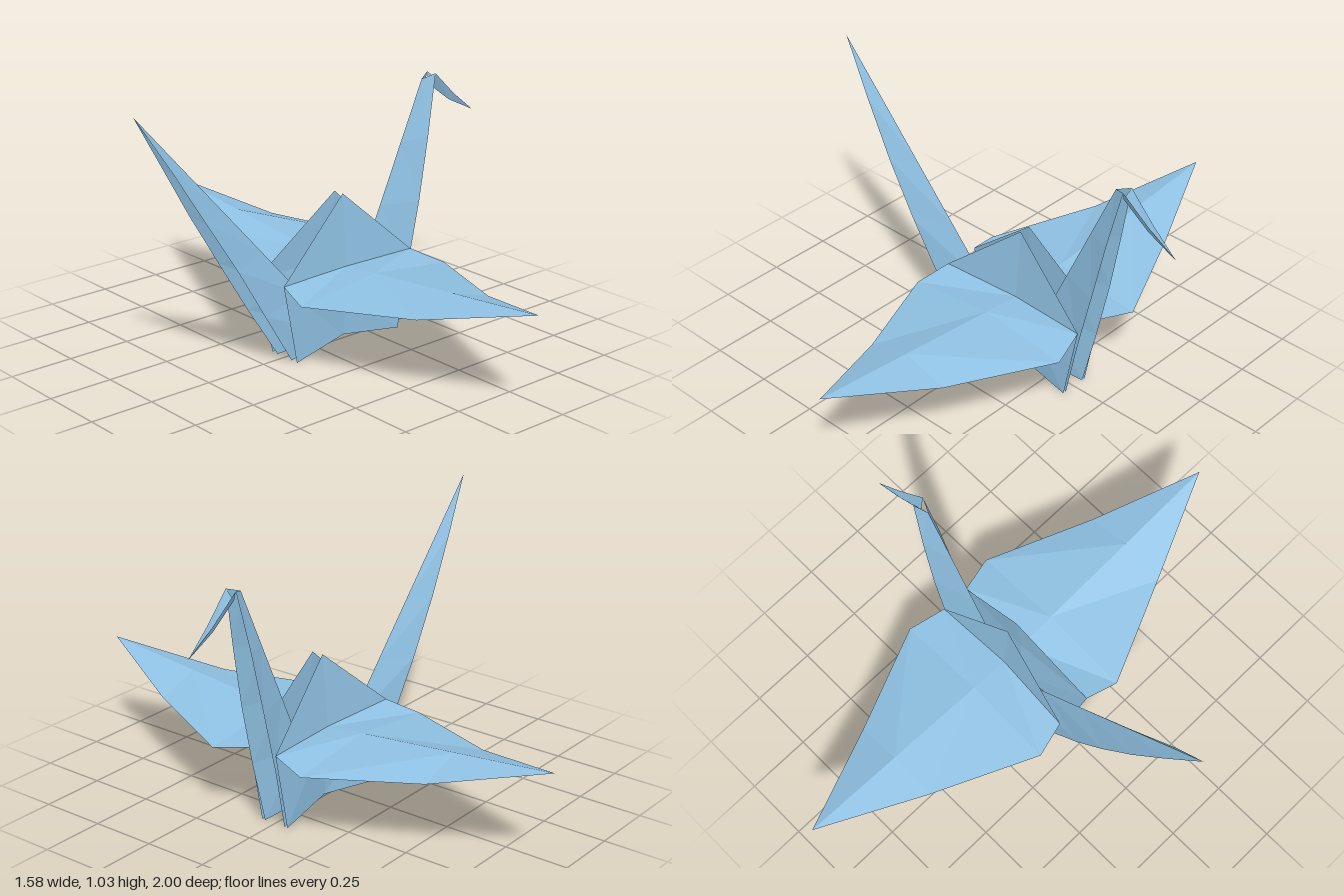
import * as THREE from 'three';

const paper = new THREE.MeshStandardMaterial({ color: 0x8fc1e3, flatShading: true, side: THREE.DoubleSide });

// Sheet of folded paper stretched between two rows of points of equal length
function sheet(name, rowA, rowB, side = 1) {
  const pos = [], idx = [];
  rowA.forEach((a, i) => {
    const b = rowB[i];
    pos.push(a[0], a[1], a[2] * side, b[0], b[1], b[2] * side);
    if (i === 0) return;
    const k = 2 * i;
    if (side > 0) idx.push(k - 2, k - 1, k, k - 1, k + 1, k);
    else idx.push(k - 2, k, k - 1, k - 1, k, k + 1);
  });
  const g = new THREE.BufferGeometry();
  g.setAttribute('position', new THREE.Float32BufferAttribute(pos, 3));
  g.setIndex(idx);
  const flat = g.toNonIndexed();
  flat.computeVertexNormals();
  const mesh = new THREE.Mesh(flat, paper);
  mesh.name = name;
  return mesh;
}

// Evenly spaced points on a straight crease
function crease(a, b, n) {
  return Array.from({ length: n }, (_, i) => a.map((v, k) => v + (b[k] - v) * i / (n - 1)));
}

export function createModel() {
  const crane = new THREE.Group();
  crane.name = 'paperCrane';

  // Body: top edge shared with the wing root, bottom edge raised in the middle
  const bodyTop = [[-0.21, 0.31, 0.07], [0.11, 0.305, 0.045], [0.42, 0.305, 0.058]];
  const bodyBottom = [[-0.15, 0, 0.07], [0.11, 0.03, 0.03], [0.36, 0, 0.058]];
  const apex = [0.11, 0.58, 0.022];

  // Wing: straight raised ridge, drooping outer edges
  const tip = [0.11, 0.4, 1];
  const ridge = [bodyTop[1], [0.11, 0.322, 0.2], [0.11, 0.361, 0.6], tip];
  const tailSideEdge = [bodyTop[0], [-0.24, 0.28, 0.2], [-0.065, 0.307, 0.6], tip];
  const neckSideEdge = [bodyTop[2], [0.46, 0.28, 0.2], [0.285, 0.307, 0.6], tip];

  // Neck and tail: V-folds with a central spine and two open edges
  const pinch = [0.11, 0.03, 0];
  const neckTop = [0.52, 0.935, 0], headTop = [0.57, 0.952, 0.022];
  const neckSpine = crease(pinch, neckTop, 5);
  const neckEdge = [[0.36, 0, 0.045], [0.415, 0.24, 0.053], [0.47, 0.48, 0.05], [0.52, 0.72, 0.04], headTop];
  const tailSpine = crease(pinch, [-0.79, 1.03, 0], 6);
  const tailEdge = [[-0.15, 0, 0.04], [-0.28, 0.206, 0.052], [-0.405, 0.412, 0.055],
    [-0.535, 0.618, 0.045], [-0.66, 0.824, 0.027], [-0.79, 1.03, 0]];

  // Beak: narrow fold with its crease underneath
  const beakTip = [0.79, 0.77, 0];
  const beakTop = [headTop, [0.68, 0.853, 0.011], beakTip];
  const beakCrease = [[0.555, 0.91, 0], [0.665, 0.83, 0], beakTip];

  for (const side of [1, -1]) {
    const half = new THREE.Group();
    half.name = side > 0 ? 'frontHalf' : 'backHalf';
    half.add(
      sheet('bodyPanel', bodyBottom, bodyTop, side),
      sheet('hump', bodyTop, [apex, apex, apex], side),
      sheet('wingTailSide', tailSideEdge, ridge, side),
      sheet('wingNeckSide', ridge, neckSideEdge, side),
      sheet('neck', neckSpine, neckEdge, side),
      sheet('tail', tailEdge, tailSpine, side),
      sheet('beak', beakCrease, beakTop, side),
    );
    crane.add(half);
  }
  return crane;
}
